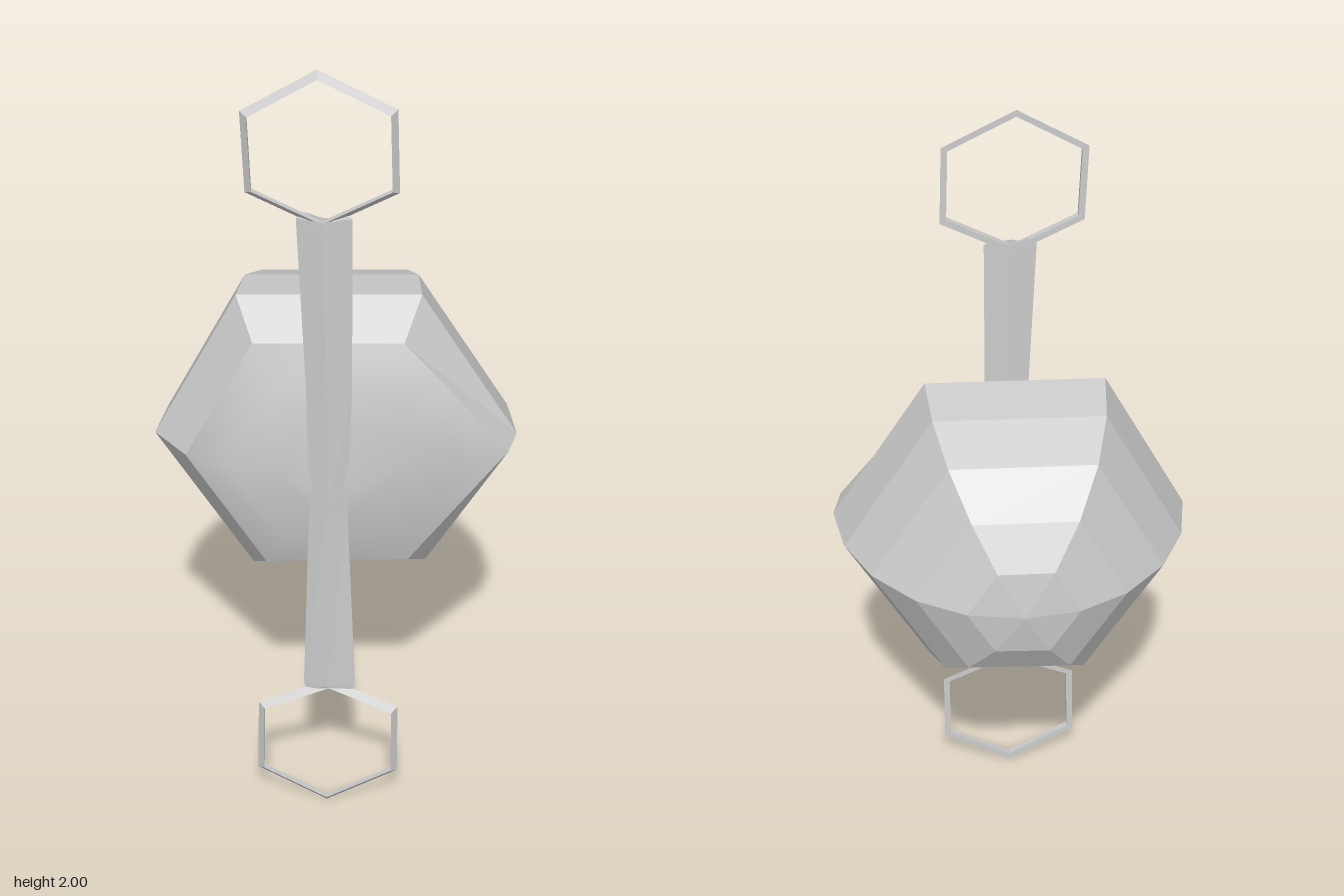
import * as THREE from 'three';
import { mergeVertices } from 'three/addons/utils/BufferGeometryUtils.js';

// Skin a row of closed loops (arrays of [x, y, z], all the same length)
function loft(loops, smooth) {
  const n = loops[0].length;
  const pos = [];
  const same = (p, q) => p.every((v, k) => Math.abs(v - q[k]) < 1e-6);
  const tri = (p, q, r) => {
    if (!same(p, q) && !same(q, r) && !same(r, p)) pos.push(...p, ...q, ...r);
  };
  for (let j = 0; j < loops.length - 1; j++) {
    for (let i = 0; i < n; i++) {
      const k = (i + 1) % n;
      const [a, b] = [loops[j], loops[j + 1]];
      tri(a[i], a[k], b[k]);
      tri(a[i], b[k], b[i]);
    }
  }
  let geo = new THREE.BufferGeometry();
  geo.setAttribute('position', new THREE.Float32BufferAttribute(pos, 3));
  if (smooth) geo = mergeVertices(geo, 1e-4);
  geo.computeVertexNormals();
  return geo;
}

// Slightly uneven hexagon of the body at its widest, relative to its middle
const MID = 0.99;
const HEX = [[0.43, 0.01], [0.2, 0.38], [-0.23, 0.37], [-0.43, -0.01], [-0.2, -0.38], [0.22, -0.36]];
const bodyLoop = (s, z) => HEX.map(([x, y]) => [x * s, MID + y * s, z]);

export function createModel() {
  const model = new THREE.Group();
  const add = (name, geometry, flat) => {
    const material = new THREE.MeshStandardMaterial({
      color: 0xcccccc, flatShading: flat, side: THREE.DoubleSide });
    const mesh = new THREE.Mesh(geometry, material);
    mesh.name = name;
    model.add(mesh);
  };

  // Front loops of the body, with the corner on the left side pulled outwards
  const front = [[0.81, 0.22, 0.41, 0.2], [0.57, 0.26, 0.29, 0.25], [0.3, 0.275, 0.16, 0.272]]
    .map(([s, z, cornerX, cornerZ]) => {
      const loop = bodyLoop(s, z);
      loop[0] = [cornerX, 1, cornerZ];
      return loop;
    });

  // Faceted dome behind, up to the bevel round the front
  const back = [[0, -0.31], [0.31, -0.29], [0.58, -0.23], [0.81, -0.13], [0.95, -0.01], [1, 0.12]]
    .map(([s, z]) => bodyLoop(s, z));
  add('domeBody', loft([...back, front[0]], false), true);

  // Smooth shallow front, rising to an off-centre point
  const tip = HEX.map(() => [-0.01, 0.91, 0.292]);
  add('bodyFront', loft([...front, tip], true), false);

  // Ridged bar: y, x of both edges, x of the ridge, z of the edges
  const bar = [
    [0.37, -0.07, 0.055, -0.01, 0.285],
    [0.88, -0.055, 0.035, -0.012, 0.283],
    [1.2, -0.06, 0.045, -0.012, 0.28],
    [1.645, -0.08, 0.045, -0.02, 0.278],
  ].map(([y, x0, x1, xr, z]) => [[x1, y, z], [xr, y, z - 0.003], [x0, y, z], [xr, y, z + 0.02]]);
  add('bar', loft(bar, false), true);

  // Hexagonal end rings with a sloping triangular section
  const ring = (name, corners, z) => {
    const cx = corners.reduce((t, c) => t + c[0], 0) / 6;
    const cy = corners.reduce((t, c) => t + c[1], 0) / 6;
    const loop = (s, dz) => corners.map(([x, y]) => [cx + (x - cx) * s, cy + (y - cy) * s, z + dz]);
    const outer = loop(1, 0);
    add(name, loft([outer, loop(0.91, 0.016), loop(0.91, 0), outer], false), true);
  };
  ring('topRing',
    [[0.148, 1.71], [0.142, 1.91], [-0.032, 2], [-0.2, 1.9], [-0.192, 1.705], [-0.022, 1.62]], 0.275);
  ring('bottomRing',
    [[0.16, 0.1], [0.16, 0.3], [-0.008, 0.38], [-0.182, 0.305], [-0.186, 0.1], [-0.015, 0]], 0.285);

  // Short flared joints between the bar ends and the rings
  const joint = (name, loops) => add(name, loft(loops, false), true);
  joint('topJoint', [
    [[0.045, 1.645, 0.278], [-0.02, 1.645, 0.275], [-0.08, 1.645, 0.278], [-0.02, 1.615, 0.298]],
    [[0.025, 1.66, 0.277], [-0.02, 1.635, 0.275], [-0.06, 1.66, 0.277], [-0.02, 1.635, 0.29]],
  ]);
  joint('bottomJoint', [
    [[0.04, 0.34, 0.288], [-0.01, 0.365, 0.284], [-0.055, 0.34, 0.288], [-0.01, 0.365, 0.301]],
    [[0.055, 0.37, 0.285], [-0.01, 0.38, 0.282], [-0.07, 0.37, 0.285], [-0.01, 0.38, 0.305]],
  ]);

  return model;
}
